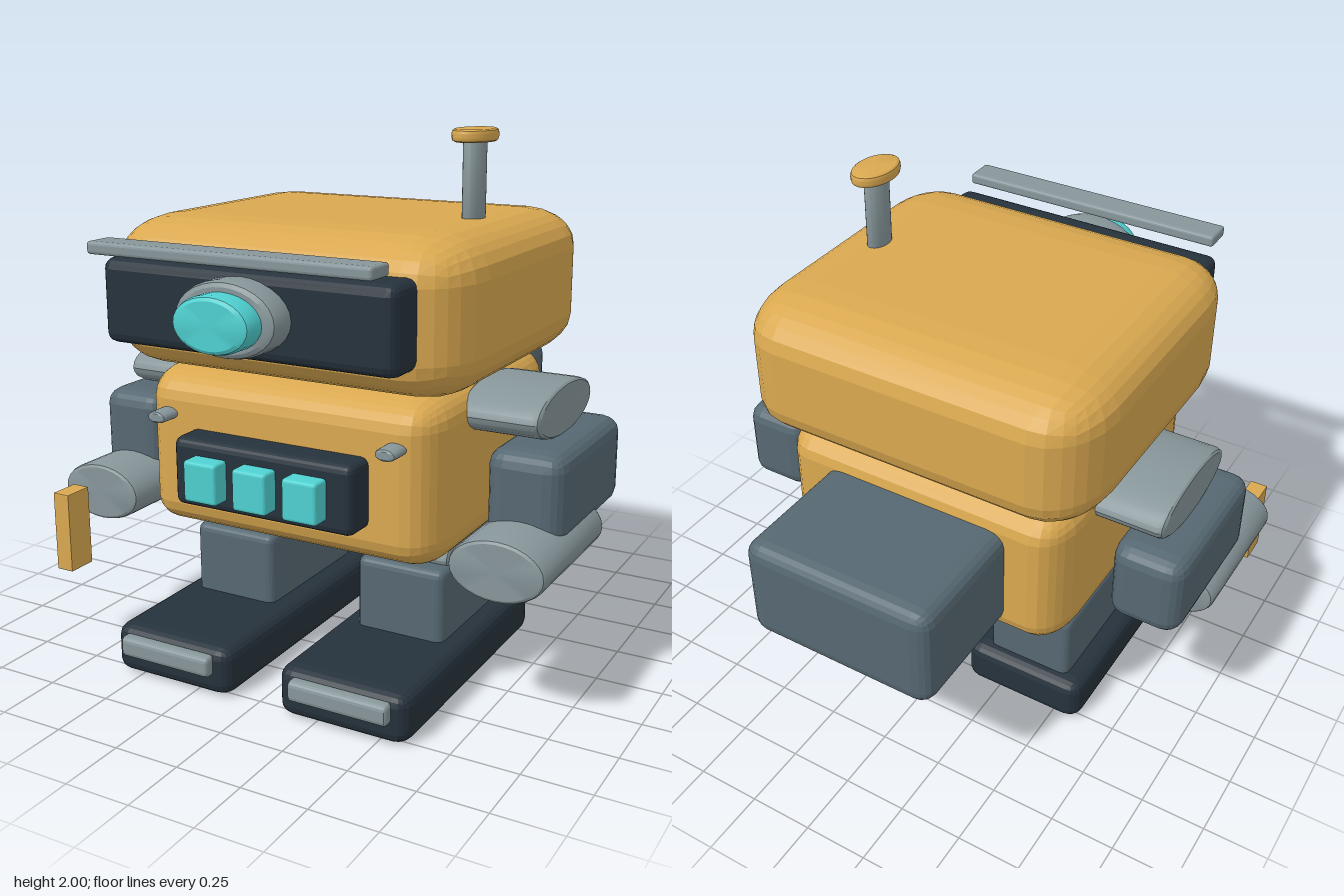
import * as THREE from 'three';
import { RoundedBoxGeometry } from 'three/addons/geometries/RoundedBoxGeometry.js';
import { toCreasedNormals } from 'three/addons/utils/BufferGeometryUtils.js';

const paint = (color, flatShading = false) => new THREE.MeshStandardMaterial({ color, flatShading });
const amber = paint(0xd9a850, true);
const dark = paint(0x26323c, true);
const steel = paint(0x566872, true);
const grey = paint(0x87969a, true);
const cyan = paint(0x4fd0d0, true);
const greySmooth = paint(0x87969a);
const amberSmooth = paint(0xd9a850);
const cyanSmooth = paint(0x4fd0d0);

// Rounded box between two corners, with its own corner radius along each axis
function block(name, material, min, max, radii, segments = 2) {
  const geometry = new RoundedBoxGeometry(1, 1, 1, segments, 0.25);
  const pos = geometry.attributes.position;
  const place = (v, i) => {
    const half = (max[i] - min[i]) / 2;
    const out = Math.max(0, (Math.abs(v) - 0.25) / 0.25);
    return (min[i] + max[i]) / 2 + Math.sign(v) * (half - radii[i] + out * radii[i]);
  };
  for (let i = 0; i < pos.count; i++) {
    pos.setXYZ(i, place(pos.getX(i), 0), place(pos.getY(i), 1), place(pos.getZ(i), 2));
  }
  geometry.computeVertexNormals();
  const mesh = new THREE.Mesh(geometry, material);
  mesh.name = name;
  return mesh;
}

// Oval drum with softened rims, filling the box between two corners along one axis
function drum(name, material, axis, min, max, bevel = 0.02) {
  const size = min.map((v, i) => max[i] - v);
  const length = size['xyz'.indexOf(axis)];
  const h = length / 2;
  const b = bevel;
  const r = 1 - Math.min(0.4, b / (Math.max(...size.filter((_, i) => 'xyz'[i] !== axis)) / 2));
  const profile = [
    [0, -h], [r, -h], [1 - (1 - r) * 0.3, -h + b * 0.3], [1, -h + b],
    [1, h - b], [1 - (1 - r) * 0.3, h - b * 0.3], [r, h], [0, h],
  ].map(([x, y]) => new THREE.Vector2(x, y));
  let geometry = new THREE.LatheGeometry(profile, 28);
  if (axis === 'x') geometry.rotateZ(-Math.PI / 2);
  if (axis === 'z') geometry.rotateX(Math.PI / 2);
  geometry.scale(...size.map((s, i) => ('xyz'[i] === axis ? 1 : s / 2)));
  geometry = toCreasedNormals(geometry, 0.5);
  geometry.translate(...min.map((v, i) => (v + max[i]) / 2));
  const mesh = new THREE.Mesh(geometry, material);
  mesh.name = name;
  return mesh;
}

// Corners of a part mirrored to the chosen side
function sided(side, min, max) {
  return side > 0 ? [min, max] : [[-max[0], min[1], min[2]], [-min[0], max[1], max[2]]];
}

function createHead() {
  const head = new THREE.Group();
  head.name = 'head';
  head.add(
    block('headShell', amber, [-0.71, 1.135, -0.59], [0.71, 1.69, 0.695], [0.2, 0.15, 0.28], 3),
    block('visor', dark, [-0.575, 1.27, 0.5], [0.575, 1.575, 0.825], [0.04, 0.04, 0.06]),
    block('brow', grey, [-0.545, 1.6, 0.805], [0.545, 1.645, 0.925], [0.012, 0.012, 0.015]),
    drum('lensRing', greySmooth, 'z', [-0.2, 1.295, 0.78], [0.2, 1.555, 0.92], 0.03),
    drum('lens', cyanSmooth, 'z', [-0.15, 1.325, 0.86], [0.15, 1.52, 1], 0.025),
    drum('antennaRod', greySmooth, 'y', [0.448, 1.64, -0.005], [0.524, 1.975, 0.115], 0.005),
    drum('antennaCap', amberSmooth, 'y', [0.41, 1.955, -0.065], [0.56, 2, 0.17], 0.016),
  );
  return head;
}

function createBody() {
  const body = new THREE.Group();
  body.name = 'body';
  body.add(
    block('torso', amber, [-0.6, 0.525, -0.495], [0.6, 1.14, 0.61], [0.12, 0.11, 0.2], 3),
    block('backpack', steel, [-0.385, 0.61, -1], [0.385, 1.03, -0.4], [0.07, 0.06, 0.06]),
    block('chestPanel', dark, [-0.365, 0.68, 0.5], [0.365, 0.935, 0.73], [0.03, 0.03, 0.04]),
  );
  for (const x of [-0.203, 0, 0.2]) {
    body.add(block('chestButton', cyan, [x - 0.068, 0.73, 0.68], [x + 0.068, 0.88, 0.8], [0.012, 0.012, 0.015]));
  }
  for (const x of [-0.465, 0.465]) {
    body.add(drum('bolt', greySmooth, 'z', [x - 0.04, 0.957, 0.56], [x + 0.04, 1.002, 0.69], 0.015));
  }
  return body;
}

function createArm(side) {
  const arm = new THREE.Group();
  arm.name = side > 0 ? 'leftArm' : 'rightArm';
  arm.add(
    drum('shoulder', greySmooth, 'x', ...sided(side, [0.56, 0.945, -0.22], [0.86, 1.135, 0.33]), 0.025),
    block('upperArm', steel, ...sided(side, [0.685, 0.62, -0.275], [0.97, 0.955, 0.385]), [0.07, 0.06, 0.08]),
    drum('forearm', greySmooth, 'z', ...sided(side, [0.65, 0.495, 0], [1, 0.715, 0.59]), 0.02),
  );
  return arm;
}

function createLeg(side) {
  const leg = new THREE.Group();
  leg.name = side > 0 ? 'leftLeg' : 'rightLeg';
  leg.add(
    drum('hip', greySmooth, 'x', ...sided(side, [0.19, 0.38, -0.18], [0.52, 0.57, 0.3]), 0.02),
    block('lowerLeg', steel, ...sided(side, [0.185, 0.14, -0.25], [0.535, 0.46, 0.37]), [0.03, 0.03, 0.035]),
    block('foot', dark, ...sided(side, [0.1, 0, -0.305], [0.612, 0.188, 0.805]), [0.06, 0.045, 0.065]),
    block('toeCap', grey, ...sided(side, [0.165, 0.083, 0.7], [0.555, 0.162, 0.84]), [0.015, 0.02, 0.025]),
  );
  return leg;
}

export function createModel() {
  const robot = new THREE.Group();
  robot.name = 'robot';
  robot.add(createHead(), createBody());
  for (const side of [1, -1]) robot.add(createArm(side), createLeg(side));
  // Small stick held before the right hand
  robot.add(block('handStick', amber, [-0.93, 0.32, 0.62], [-0.858, 0.63, 0.738], [0.004, 0.004, 0.004], 1));
  return robot;
}
